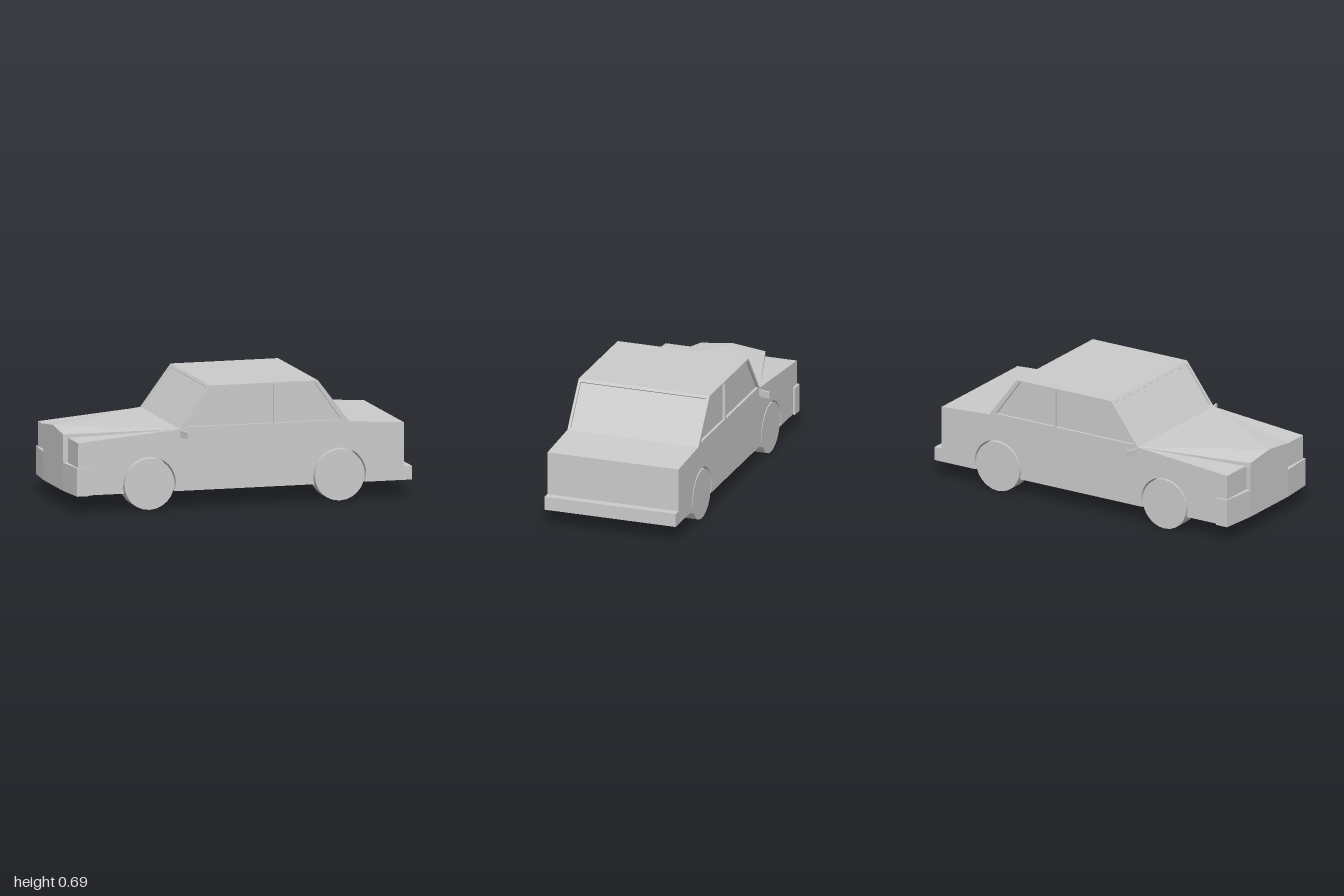
import * as THREE from 'three';

const HALF = 0.395;       // half body width
const SKIN = 0.38;        // where the recessed glass starts
const WELL = 0.29;        // inner face of the wheel wells
const FLOOR = 0.1;
const AXLES = [-0.55, 0.573];
const WHEEL_R = 0.147;
const ARCH_R = 0.156;

const material = new THREE.MeshStandardMaterial({ color: 0xcccccc, flatShading: true });

function add(parent, name, geometry) {
  const mesh = new THREE.Mesh(geometry, material);
  mesh.name = name;
  parent.add(mesh);
  return mesh;
}

// Extrudes a side-view shape between two z positions
function slab(shape, z0, z1) {
  return new THREE.ExtrudeGeometry(shape, { depth: z1 - z0, bevelEnabled: false, curveSegments: 14 })
    .translate(0, 0, z0);
}

// Slanted edge a-b, optionally sunk inwards to form a window recess
function glassEdge(a, b, recessed) {
  const A = new THREE.Vector2(...a), B = new THREE.Vector2(...b);
  if (!recessed) return [A, B];
  const d = B.clone().sub(A).normalize();
  const inward = new THREE.Vector2(-d.y, d.x).multiplyScalar(0.012);
  const p = A.clone().lerp(B, 0.06), q = A.clone().lerp(B, 0.94);
  return [A, p, p.clone().add(inward), q.clone().add(inward), q, B];
}

// Side outline of the body, nose towards -x
function bodyShape(arches, recessed) {
  const s = new THREE.Shape();
  s.moveTo(-0.972, FLOOR);
  if (arches) {
    const a = Math.asin((FLOOR - WHEEL_R) / ARCH_R);
    for (const x of AXLES) {
      s.lineTo(x - ARCH_R * Math.cos(a), FLOOR);
      s.absarc(x, WHEEL_R, ARCH_R, Math.PI - a, a, true);
    }
  }
  const points = [
    [1, FLOOR], [1, 0.178], [0.952, 0.178], [0.952, 0.43],
    ...glassEdge([0.63, 0.45], [0.445, 0.695], recessed).map((p) => p.toArray()),
    ...glassEdge([-0.19, 0.695], [-0.37, 0.453], recessed).map((p) => p.toArray()),
    [-0.972, 0.402],
  ];
  points.forEach(([x, y]) => s.lineTo(x, y));
  s.closePath();
  return s;
}

// Outer side panel with two window openings
function sidePanelShape() {
  const s = bodyShape(true, false);
  const windows = [
    [[-0.345, 0.463], [0.183, 0.463], [0.183, 0.684], [-0.18, 0.684]],
    [[0.193, 0.463], [0.585, 0.463], [0.425, 0.684], [0.193, 0.684]],
  ];
  for (const w of windows) s.holes.push(new THREE.Path(w.map((p) => new THREE.Vector2(...p))));
  return s;
}

// Raised hood: centre ridge, tapering from the windshield to the grille
function hoodGeometry() {
  const ridgeFront = [-1, 0.445, 0], ridgeBack = [-0.37, 0.455, 0];
  const positions = [];
  for (const side of [1, -1]) {
    const corner = [-0.37, 0.455, side * HALF];
    const nose = [-1, 0.422, side * 0.195];
    const foot = [-1, 0.39, side * 0.195];
    const faces = [
      [ridgeFront, nose, corner], [ridgeFront, corner, ridgeBack], [nose, foot, corner],
    ];
    for (const [a, b, c] of faces) positions.push(...a, ...(side > 0 ? [...b, ...c] : [...c, ...b]));
  }
  const g = new THREE.BufferGeometry();
  g.setAttribute('position', new THREE.Float32BufferAttribute(positions, 3));
  g.computeVertexNormals();
  return g;
}

// Grille block with a peaked top, facing -x
function grilleGeometry() {
  const s = new THREE.Shape([
    [-0.195, 0.2], [0.195, 0.2], [0.195, 0.422], [0, 0.445], [-0.195, 0.422],
  ].map((p) => new THREE.Vector2(...p)));
  return new THREE.ExtrudeGeometry(s, { depth: 0.04, bevelEnabled: false })
    .rotateY(-Math.PI / 2).translate(-0.96, 0, 0);
}

// Front bumper, angled in plan and wrapping round the corners
function bumperGeometry() {
  const s = new THREE.Shape([
    [-0.999, -0.195], [-0.999, 0.195], [-0.98, 0.408], [-0.907, 0.408], [-0.907, HALF - 0.005],
    [-0.96, HALF - 0.005], [-0.96, 0.005 - HALF], [-0.907, 0.005 - HALF], [-0.907, -0.408], [-0.98, -0.408],
  ].map((p) => new THREE.Vector2(...p)));
  return new THREE.ExtrudeGeometry(s, { depth: 0.162, bevelEnabled: false })
    .rotateX(-Math.PI / 2).translate(0, FLOOR - 0.002, 0);
}

export function createModel() {
  const car = new THREE.Group();
  car.name = 'car';

  // Body in layers: solid core, wheel-well layers, outer panels
  const body = new THREE.Group();
  body.name = 'body';
  car.add(body);
  add(body, 'bodyCore', slab(bodyShape(false, true), -WELL, WELL));
  for (const [name, s] of [['left', -1], ['right', 1]]) {
    const span = (a, b) => (s > 0 ? [a, b] : [-b, -a]);
    add(body, name + 'WheelWells', slab(bodyShape(true, true), ...span(WELL, SKIN)));
    add(body, name + 'SidePanel', slab(sidePanelShape(), ...span(SKIN, HALF)));
  }

  // Front end
  add(car, 'hood', hoodGeometry());
  add(car, 'grille', grilleGeometry());
  add(car, 'frontBumper', bumperGeometry());

  // Wheels
  const wheel = new THREE.CylinderGeometry(WHEEL_R, WHEEL_R, 0.103, 24).rotateX(Math.PI / 2);
  for (const x of AXLES) {
    for (const s of [1, -1]) {
      add(car, x < 0 ? 'frontWheel' : 'rearWheel', wheel).position.set(x, WHEEL_R, s * 0.3435);
    }
  }

  // Door mirrors: thin plates, taller at the tip and swept back
  for (const s of [1, -1]) {
    const plate = new THREE.Shape([
      [0, 0.41], [0.025, 0.403], [0.073, 0.409], [0.073, 0.445], [0, 0.445],
    ].map(([z, y]) => new THREE.Vector2(s * z, y)));
    const g = new THREE.ExtrudeGeometry(plate, { depth: 0.012, bevelEnabled: false })
      .rotateY(-Math.PI / 2 + s * 0.3);
    add(car, 'doorMirror', g).position.set(-0.358, 0, s * (HALF - 0.003));
  }
  return car;
}
